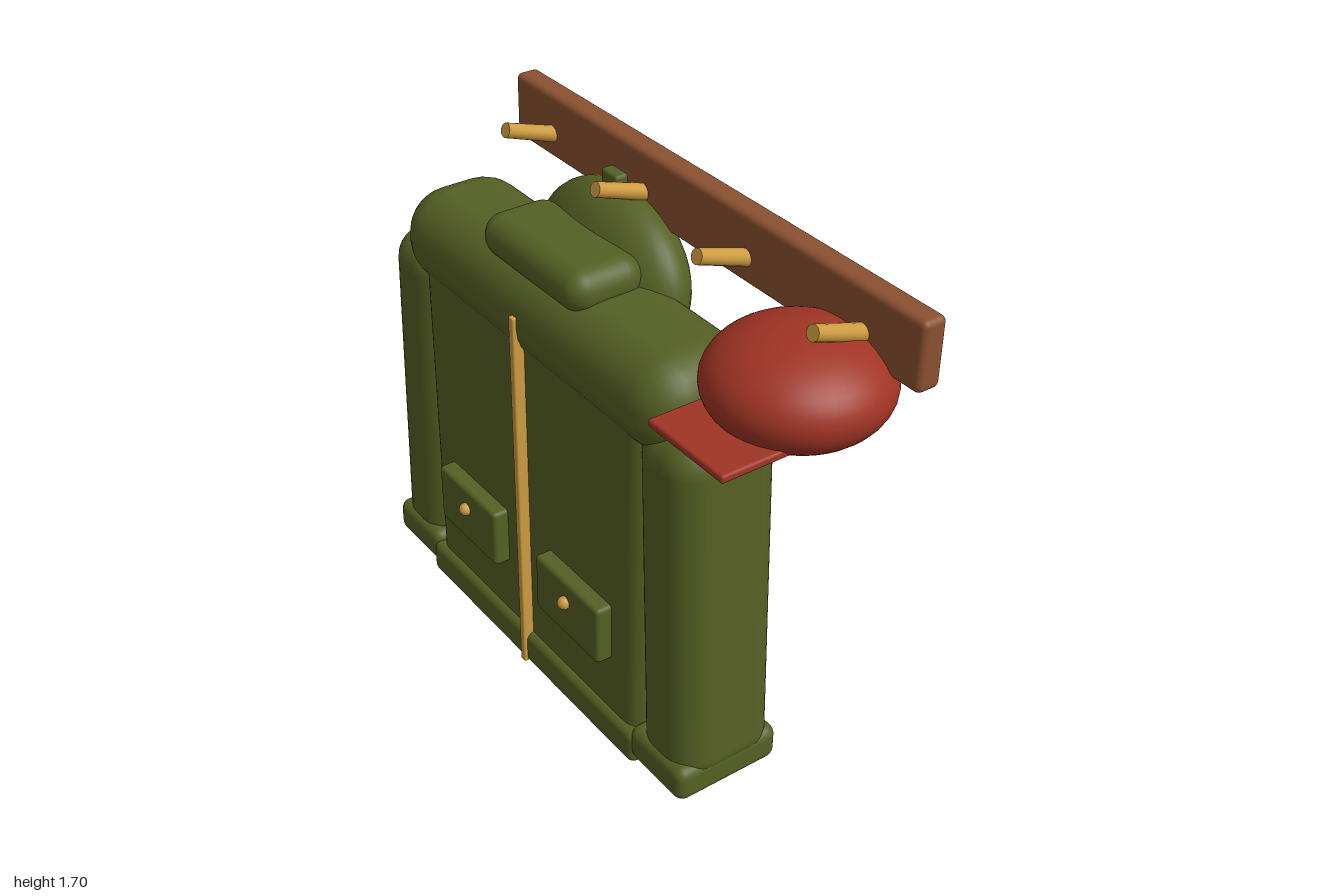
import * as THREE from 'three';
import { RoundedBoxGeometry } from 'three/addons/geometries/RoundedBoxGeometry.js';

export function createModel() {
  const model = new THREE.Group();
  model.name = 'coatOnRack';

  const material = (name, color) => {
    const m = new THREE.MeshStandardMaterial({ color });
    m.name = name;
    return m;
  };
  const olive = material('olive cloth', 0x556024);
  const wood = material('brown wood', 0x8a5030);
  const brass = material('brass', 0xcc9a40);
  const red = material('red cloth', 0xa03424);

  const add = (parent, name, geometry, mat, x, y, z) => {
    const mesh = new THREE.Mesh(geometry, mat);
    mesh.name = name;
    mesh.position.set(x, y, z);
    parent.add(mesh);
    return mesh;
  };
  // Rounded box given by its extents on each axis
  const block = (parent, name, mat, [x0, x1], [y0, y1], [z0, z1], radius, segments = 4) =>
    add(parent, name, new RoundedBoxGeometry(x1 - x0, y1 - y0, z1 - z0, segments, radius), mat,
      (x0 + x1) / 2, (y0 + y1) / 2, (z0 + z1) / 2);
  const ellipsoid = (parent, name, mat, [rx, ry, rz], x, y, z) =>
    add(parent, name, new THREE.SphereGeometry(1, 40, 24).scale(rx, ry, rz), mat, x, y, z);

  // Wall rack with four upward-tilted pegs
  const rack = new THREE.Group();
  rack.name = 'rack';
  model.add(rack);
  block(rack, 'board', wood, [-0.76, 1], [1.5, 1.7], [-0.252, -0.178], 0.018, 3);
  for (let i = 0; i < 4; i++) {
    const peg = add(rack, 'peg', new THREE.CylinderGeometry(0.022, 0.025, 0.19, 16), brass,
      -0.565 + i * 0.453, 1.601, -0.108);
    peg.rotation.x = Math.PI / 2 - 0.32;
  }

  // Coat, built around its own centre line
  const coat = new THREE.Group();
  coat.name = 'coat';
  coat.position.x = -0.185;
  model.add(coat);
  block(coat, 'torso', olive, [-0.565, 0.565], [0.04, 1.25], [-0.14, 0.186], 0.06);
  block(coat, 'hem', olive, [-0.577, 0.577], [0.003, 0.122], [-0.15, 0.21], 0.028);
  block(coat, 'shoulders', olive, [-0.68, 0.68], [1.1, 1.4], [-0.17, 0.21], 0.14, 4);
  const hood = ellipsoid(coat, 'hood', olive, [0.325, 0.245, 0.14], 0, 1.33, -0.125);
  hood.rotation.x = -0.15;
  block(coat, 'collar', olive, [-0.25, 0.25], [1.35, 1.485], [-0.08, 0.17], 0.065);
  block(coat, 'hangingLoop', olive, [-0.038, 0.038], [1.54, 1.626], [-0.155, -0.112], 0.01, 2);
  block(coat, 'zip', brass, [-0.0125, 0.0125], [0.012, 1.275], [0.17, 0.221], 0.005, 2);

  // Sleeves, cuffs and pockets on both sides
  for (const side of [-1, 1]) {
    const sleeve = add(coat, 'sleeve', new RoundedBoxGeometry(0.256, 1.17, 0.34, 4, 0.1), olive,
      side * 0.666, 0.638, 0.021);
    sleeve.rotation.z = side * 0.04;
    block(coat, 'cuff', olive, [side * 0.68 - 0.13, side * 0.68 + 0.13],
      [0.032, 0.152], [-0.154, 0.206], 0.035);
    block(coat, 'pocket', olive, [side * 0.278 - 0.163, side * 0.278 + 0.163],
      [0.32, 0.52], [0.17, 0.237], 0.014, 3);
    add(coat, 'button', new THREE.SphereGeometry(0.021, 16, 12), brass, side * 0.278, 0.448, 0.242);
  }

  // Cap hanging from the last peg
  const cap = new THREE.Group();
  cap.name = 'cap';
  model.add(cap);
  ellipsoid(cap, 'crown', red, [0.248, 0.149, 0.25], 0.72, 1.45, -0.05);
  block(cap, 'brim', red, [0.572, 0.87], [1.364, 1.388], [0, 0.3], 0.008, 2);

  return model;
}
